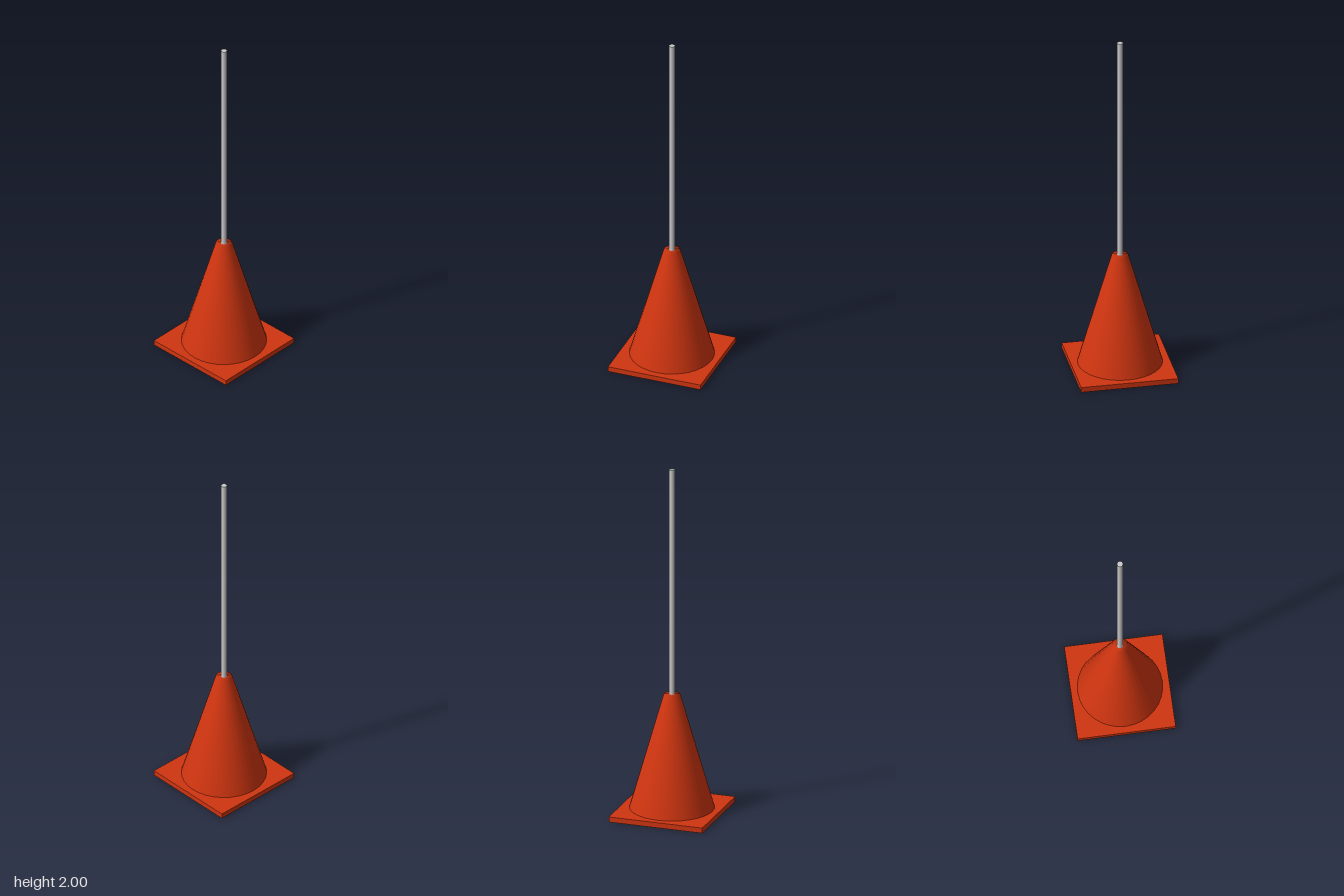
import * as THREE from 'three';

export function createModel() {
  const group = new THREE.Group();
  const orange = new THREE.MeshStandardMaterial({ color: 0xd03510 });
  const grey = new THREE.MeshStandardMaterial({ color: 0xcccccc });

  const add = (name, geometry, material, y = 0) => {
    const mesh = new THREE.Mesh(geometry, material);
    mesh.name = name;
    mesh.position.y = y;
    group.add(mesh);
  };

  // Square foot plate
  add('basePlate', new THREE.BoxGeometry(0.545, 0.03, 0.545), orange, 0.015);

  // Tapered cone, with its shading running smoothly over the closed top
  const profile = [[0.235, 0.03], [0.045, 0.69], [0, 0.69]].map(([r, y]) => new THREE.Vector2(r, y));
  add('cone', new THREE.LatheGeometry(profile, 32), orange);

  // Pole standing in the cone
  const poleBottom = 0.03, poleTop = 2;
  add('pole', new THREE.CylinderGeometry(0.0165, 0.0165, poleTop - poleBottom, 32), grey, (poleTop + poleBottom) / 2);

  return group;
}
